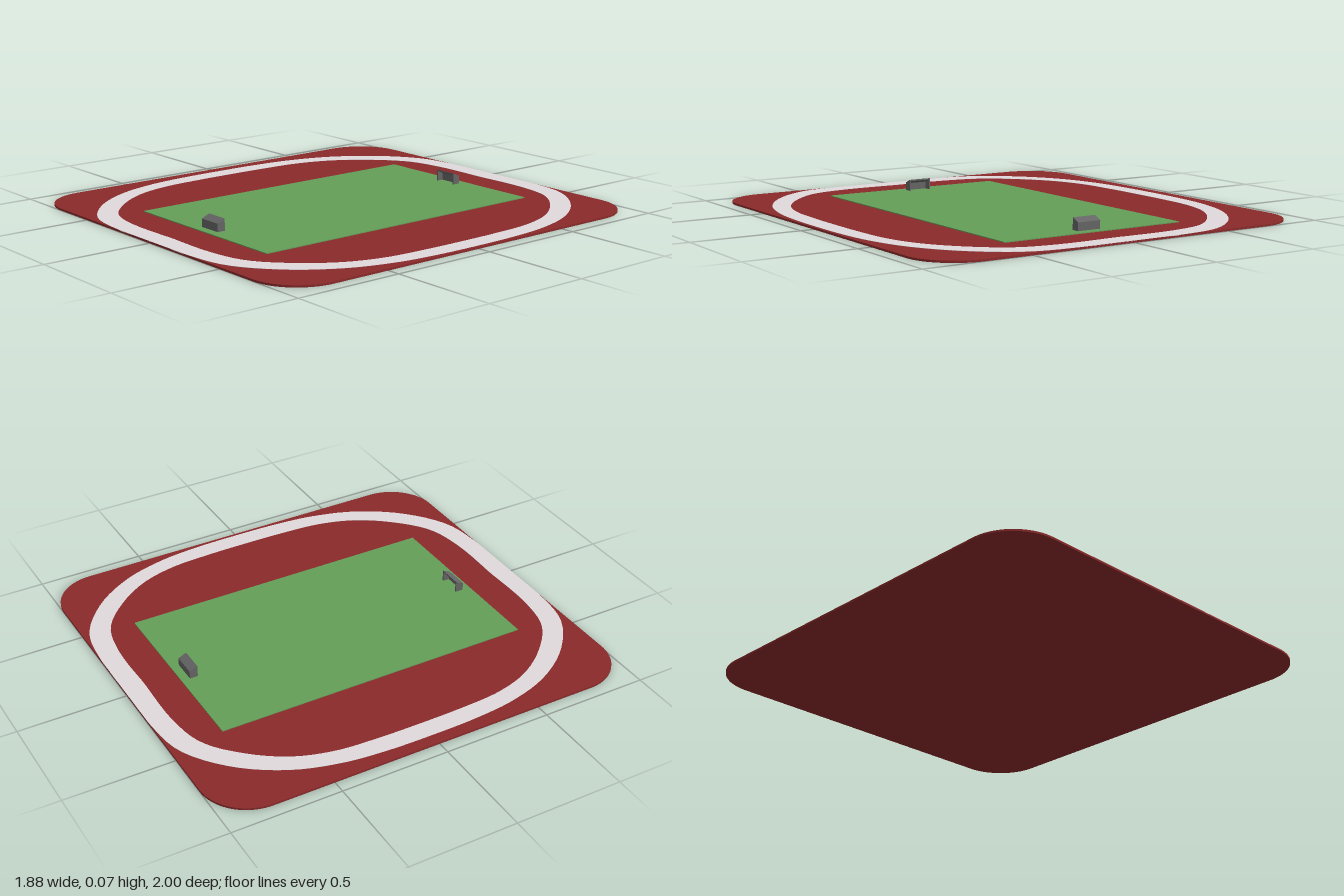
import * as THREE from 'three';

const BASE_TOP = 0.009, FIELD_TOP = 0.013, CENTRE_X = 0.02;
const mat = (color) => new THREE.MeshStandardMaterial({ color });

function add(parent, name, geometry, material) {
  const mesh = new THREE.Mesh(geometry, material);
  mesh.name = name;
  parent.add(mesh);
  return mesh;
}

// Extrude a ground-plan shape upwards from y0 to y1
function slab(shape, y0, y1) {
  const geometry = new THREE.ExtrudeGeometry(shape, { depth: y1 - y0, bevelEnabled: false, curveSegments: 16 });
  return geometry.rotateX(-Math.PI / 2).translate(0, y0, 0);
}

function roundedRect(w, h, r) {
  const s = new THREE.Shape();
  s.absarc(w - r, h - r, r, 0, Math.PI / 2);
  s.absarc(r - w, h - r, r, Math.PI / 2, Math.PI);
  s.absarc(r - w, r - h, r, Math.PI, Math.PI * 1.5);
  s.absarc(w - r, r - h, r, Math.PI * 1.5, Math.PI * 2);
  return s;
}

// Closed smooth loop from one quadrant, mirrored into the other three
function loop(quadrant) {
  const up = [...quadrant].reverse();
  const all = [
    ...quadrant,
    ...up.map(([x, y]) => [-x, y]).slice(0),
    ...quadrant.slice(1).map(([x, y]) => [-x, -y]),
    ...up.slice(0, -1).map(([x, y]) => [x, -y]),
  ];
  const curve = new THREE.CatmullRomCurve3(
    all.map(([x, y]) => new THREE.Vector3(x + CENTRE_X, y, 0)), true);
  return curve.getPoints(140).map((p) => new THREE.Vector2(p.x, Math.max(-1, Math.min(1, p.y))));
}

// Goal shell, open towards -z, back wall at +z
function createGoal(material) {
  const goal = new THREE.Group();
  const w = 0.115, back = 0.019, wall = 0.007, h = 0.055, low = 0.038;
  const sideShape = new THREE.Shape([
    [-back, 0], [back, 0], [back, low], [-back, h],
  ].map(([z, y]) => new THREE.Vector2(z, y)));
  // Sloping roof and back wall share one bent section
  const shellShape = new THREE.Shape([
    [back - wall, 0], [back, 0], [back, low], [-back, h], [-back, h - wall], [back - wall, low - wall / 2],
  ].map(([z, y]) => new THREE.Vector2(z, y)));
  const extrude = (shape, depth, x) => new THREE.ExtrudeGeometry(shape, { depth, bevelEnabled: false })
    .rotateY(-Math.PI / 2).translate(x + depth, 0, 0);
  add(goal, 'goalRoofAndBack', extrude(shellShape, w - 2 * wall, -w / 2 + wall), material);
  add(goal, 'goalSideRight', extrude(sideShape, wall, -w / 2), material);
  add(goal, 'goalSideLeft', extrude(sideShape, wall, w / 2 - wall), material);
  return goal;
}

export function createModel() {
  const model = new THREE.Group();
  model.name = 'sportsGround';

  // Red base plate with rounded corners
  add(model, 'base', slab(roundedRect(0.94, 1, 0.22), 0, BASE_TOP), mat(0x8b2a2a));

  // White running lane
  const track = new THREE.Shape(loop([
    [0.905, 0], [0.9, 0.22], [0.877, 0.42], [0.81, 0.63], [0.675, 0.825], [0.48, 0.965], [0.25, 1], [0, 1],
  ]));
  track.holes.push(new THREE.Path(loop([
    [0.815, 0], [0.812, 0.2], [0.797, 0.4], [0.745, 0.57], [0.64, 0.725], [0.48, 0.86], [0.29, 0.903], [0, 0.903],
  ])));
  add(model, 'runningTrack', slab(track, BASE_TOP - 0.002, BASE_TOP + 0.001), mat(0xe0d9dd));

  // Green playing field
  const field = add(model, 'field', new THREE.BoxGeometry(0.906, FIELD_TOP - 0.002, 1.5), mat(0x659e58));
  field.position.set(0.018, (FIELD_TOP + 0.002) / 2, -0.005);

  // Goals at both ends, facing each other
  const grey = mat(0x666666);
  for (const [name, z, turn] of [['frontGoal', 0.686, 0], ['backGoal', -0.697, Math.PI]]) {
    const goal = createGoal(grey);
    goal.name = name;
    goal.position.set(CENTRE_X - 0.001, FIELD_TOP - 0.001, z);
    goal.rotation.y = turn;
    model.add(goal);
  }
  return model;
}
